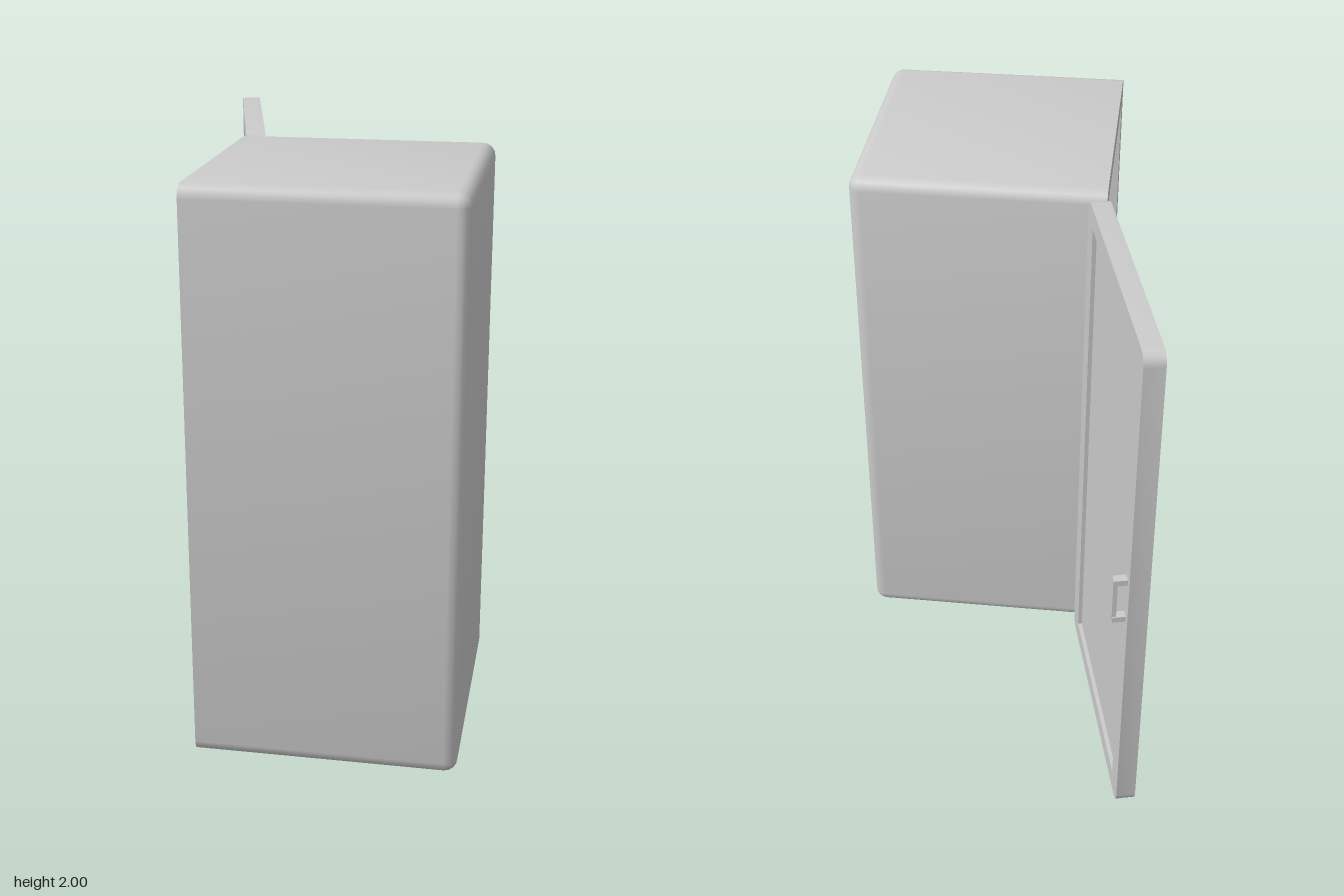
import * as THREE from 'three';
import { toCreasedNormals } from 'three/addons/utils/BufferGeometryUtils.js';

const material = new THREE.MeshStandardMaterial({ color: 0xcccccc });

function add(parent, name, geometry, x = 0, y = 0, z = 0) {
  const mesh = new THREE.Mesh(geometry, material);
  mesh.name = name;
  mesh.position.set(x, y, z);
  parent.add(mesh);
  return mesh;
}

// Rounded rectangle in the z-y plane, always the same number of points
const STEPS = 4;
function outline([x, halfZ, halfY, r]) {
  const points = [];
  [[1, 1], [-1, 1], [-1, -1], [1, -1]].forEach(([sz, sy], corner) => {
    for (let i = 0; i <= STEPS; i++) {
      const a = (corner + i / STEPS) * Math.PI / 2;
      points.push([x, sy * (halfY - r) + r * Math.sin(a), sz * (halfZ - r) + r * Math.cos(a)]);
    }
  });
  return points;
}

// Skin over a run of outlines [x, halfZ, halfY, cornerRadius]
function loft(rings) {
  const count = 4 * (STEPS + 1);
  const index = [];
  for (let i = 0; i < rings.length - 1; i++) {
    for (let j = 0; j < count; j++) {
      const a = i * count + j, c = i * count + (j + 1) % count;
      index.push(a, a + count, c, c, a + count, c + count);
    }
  }
  const geometry = new THREE.BufferGeometry();
  geometry.setAttribute('position', new THREE.Float32BufferAttribute(rings.flatMap(outline).flat(), 3));
  geometry.setIndex(index);
  return toCreasedNormals(geometry, 0.6);
}

export function createModel() {
  const model = new THREE.Group();
  model.name = 'cabinet';

  // Hollow body, open towards -x, with rounded edges at the far end
  const front = -0.34, back = 0.57, halfZ = 0.483, midZ = 0.482, r = 0.045;
  const innerZ = 0.395, innerY = 0.925, innerBack = 0.49;
  const rings = [
    [innerBack, 0, 0, 0],
    [innerBack, innerZ, innerY, 0],
    [front, innerZ, innerY, 0],
    [front, halfZ, 1, r],
  ];
  for (let i = 0; i <= STEPS; i++) {
    const a = i / STEPS * Math.PI / 2;
    const inset = r * (1 - Math.cos(a));
    rings.push([back - r + r * Math.sin(a), halfZ - inset, 1 - inset, r - inset]);
  }
  rings.push([back, 0, 0, 0]);
  add(model, 'body', loft(rings), 0, 1, midZ);

  // Shelves, set back from the opening
  const shelfFront = -0.25;
  for (const top of [0.49, 1.02, 1.55]) {
    add(model, 'shelf', new THREE.BoxGeometry(innerBack - shelfFront, 0.06, innerZ * 2),
      (innerBack + shelfFront) / 2, top - 0.03, midZ);
  }

  // Hinges
  for (const y of [0.295, 1.025, 1.775]) {
    add(model, 'hinge', new THREE.CylinderGeometry(0.01, 0.01, 0.13, 12), -0.345, y, -0.004);
  }

  // Door, swung wide open about the hinge line
  const door = new THREE.Group();
  door.name = 'door';
  door.position.set(-0.345, 0, -0.01);
  door.rotation.y = 0.242;
  model.add(door);

  // Slab with a shallow recessed panel on both faces
  const thick = 0.07, recess = 0.015, doorZ = 0.4825;
  add(door, 'doorSlab', loft([
    [recess, 0, 0, 0],
    [recess, 0.39, 0.925, 0],
    [0, 0.39, 0.925, 0],
    [0, doorZ, 1, r],
    [thick, doorZ, 1, r],
    [thick, 0.39, 0.925, 0],
    [thick - recess, 0.39, 0.925, 0],
    [thick - recess, 0, 0, 0],
  ]), 0, 1, -doorZ);

  // Handle: grip on two end mounts
  add(door, 'handleGrip', new THREE.BoxGeometry(0.015, 0.18, 0.02), 0.11, 1, -0.925);
  for (const side of [-1, 1]) {
    add(door, 'handleMount', new THREE.BoxGeometry(0.048, 0.022, 0.03), 0.092, 1 + side * 0.082, -0.925);
  }
  return model;
}
